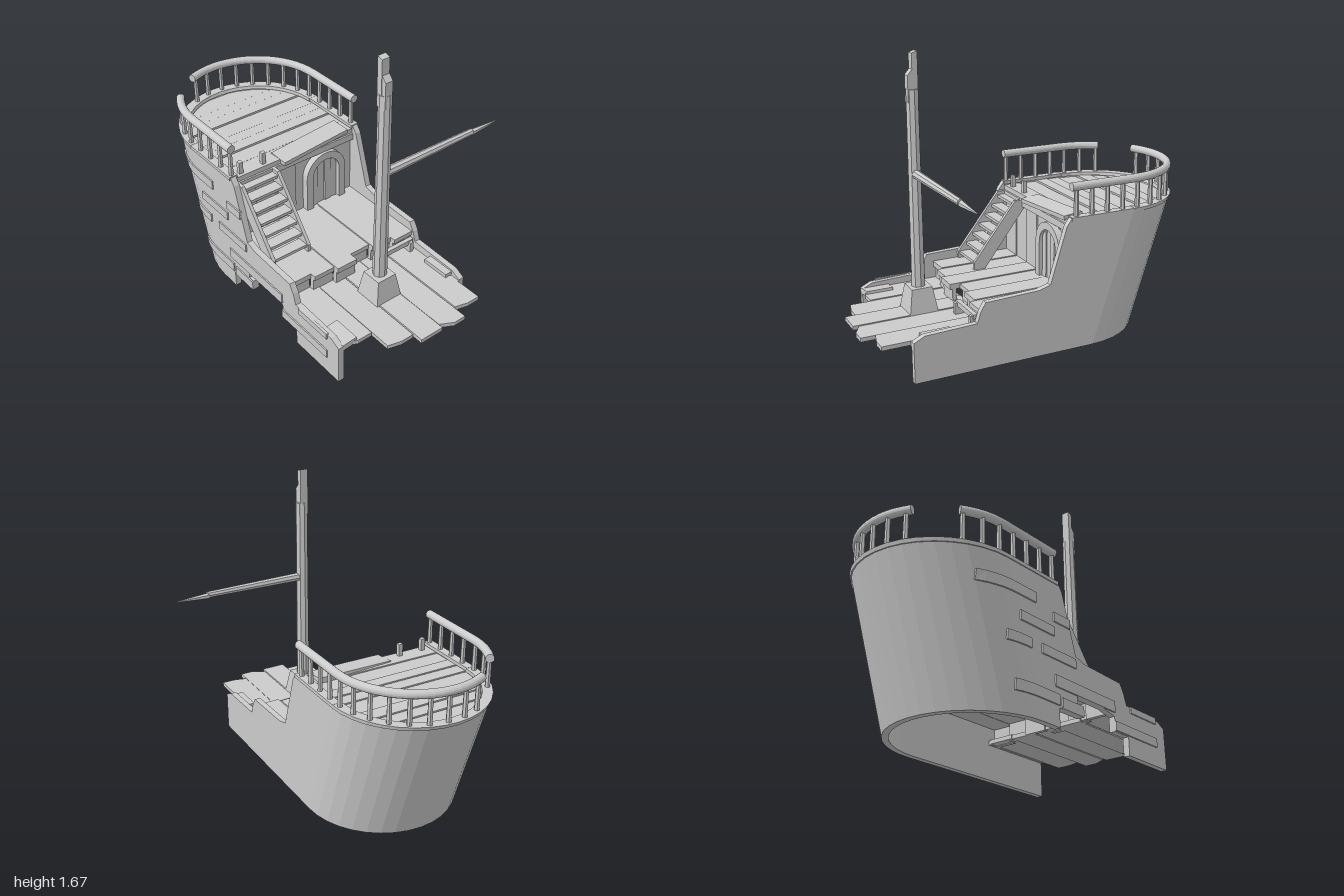
import * as THREE from 'three';

const MID = 0.18, HALF = 0.44, ROUND = 0.45, TOP = 0.77;

// x where the straight sides turn into the raked, rounded stern
const sternStart = (y) => -0.55 + 0.255 * (1 - y / TOP);
// point on the rounded stern, set inwards by w
const sternPoint = (t, y, w) => new THREE.Vector3(
  sternStart(y) - (ROUND - w) * Math.cos(t), y, MID + (HALF - w) * Math.sin(t));
const sideZ = (x, y) => {
  const c = Math.min(1, Math.max(0, (sternStart(y) - x) / ROUND));
  return MID + HALF * Math.sqrt(1 - c * c);
};

export function createModel() {
  const ship = new THREE.Group();
  ship.name = 'shipwreck';
  const mat = new THREE.MeshStandardMaterial({ color: 0xcccccc, flatShading: true });

  const add = (name, geo, parent = ship) => {
    const mesh = new THREE.Mesh(geo, mat);
    mesh.name = name;
    parent.add(mesh);
    return mesh;
  };
  const group = (name) => {
    const g = new THREE.Group();
    g.name = name;
    ship.add(g);
    return g;
  };
  const box = (name, x0, x1, y0, y1, z0, z1, parent) => {
    const m = add(name, new THREE.BoxGeometry(x1 - x0, y1 - y0, z1 - z0), parent);
    m.position.set((x0 + x1) / 2, (y0 + y1) / 2, (z0 + z1) / 2);
    return m;
  };
  const warp = (geo, rule) => {
    const p = geo.attributes.position, v = new THREE.Vector3();
    for (let i = 0; i < p.count; i++) {
      const q = rule(v.fromBufferAttribute(p, i));
      p.setXYZ(i, q.x, q.y, q.z);
    }
    geo.computeVertexNormals();
    return geo;
  };
  const shapeOf = (pts) => new THREE.Shape(pts.map(([x, y]) => new THREE.Vector2(x, y)));
  const extrude = (shape, depth) =>
    new THREE.ExtrudeGeometry(shape, { depth, bevelEnabled: false, curveSegments: 8 });

  // Rounded stern and its rim
  const sternBand = (name, y0, y1, w0, w1) => add(name, warp(
    new THREE.BoxGeometry(1, 1, 1, 18, 1, 1),
    (v) => sternPoint(v.x * Math.PI, v.y > 0 ? y1 : y0, v.z > 0 ? w0 : w1)));
  sternBand('sternHull', 0, 0.765, 0, 0.035);
  sternBand('sternRim', 0.755, 0.775, -0.006, 0.05);

  // Side walls: stepped top; the front one has a broken bottom edge
  const topEdge = [[0.78, 0], [0.78, 0.23], [0.72, 0.26], [0.42, 0.27], [0.4, 0.33], [0.37, 0.38],
    [0.05, 0.39], [-0.02, 0.41], [-0.12, 0.73], [-0.15, TOP], [-0.55, TOP], [-0.295, 0]];
  const hole = [[-0.17, 0], [-0.17, 0.1], [0.02, 0.1], [0.02, 0.16], [-0.02, 0.16], [-0.02, 0.2],
    [0.2, 0.2], [0.3, 0.18], [0.3, 0.1], [0.42, 0.1], [0.42, 0]];
  add('backWall', extrude(shapeOf(topEdge), 0.035)).position.z = MID - HALF;
  add('frontWall', extrude(shapeOf([...topEdge, ...hole]), 0.035)).position.z = MID + HALF - 0.035;
  for (const z of [MID - HALF - 0.005, MID + HALF - 0.045])
    box('wallRim', -0.55, -0.15, 0.755, 0.775, z, z + 0.05);

  // Loose planks lying on the front side
  const hullPlanks = group('hullPlanks');
  for (const [x0, x1, y0, y1] of [[-0.72, -0.34, 0.59, 0.645], [-0.46, -0.2, 0.46, 0.51],
    [-0.2, -0.07, 0.54, 0.59], [-0.54, -0.38, 0.34, 0.39], [-0.3, -0.03, 0.34, 0.39],
    [-0.48, -0.17, 0.11, 0.165], [-0.2, 0.3, 0.2, 0.26], [-0.15, 0.02, 0.1, 0.155],
    [0.3, 0.69, 0.105, 0.155], [0.45, 0.69, 0.235, 0.27]]) {
    add('hullPlank', warp(new THREE.BoxGeometry(x1 - x0, y1 - y0, 0.016, 8, 1, 1), (v) => {
      const x = v.x + (x0 + x1) / 2, y = v.y + (y0 + y1) / 2;
      return new THREE.Vector3(x, y, sideZ(x, y) + v.z);
    }), hullPlanks);
  }

  // Lower deck with broken ends, upper deck and the riser between
  const decks = group('mainDeck');
  [[-0.23, -0.21, 0.78], [-0.215, -0.06, 0.94], [-0.055, 0.095, 1], [0.1, 0.245, 0.99],
    [0.25, 0.405, 0.93], [0.41, 0.59, 0.79]].forEach(([z0, z1, end], i) => {
    const y = 0.2 + (i % 2) * 0.004;
    add('lowerPlank', extrude(shapeOf([[0.3, -z1], [end - (i % 3) * 0.02, -z1],
      [end, -(z0 + z1) / 2], [end, -z0], [0.3, -z0]]), 0.024).rotateX(-Math.PI / 2), decks).position.y = y;
    const a = Math.max(-0.225, -0.225 + i * 0.135);
    const x1 = 0.39 - (i % 3) * 0.03;
    box('upperPlank', -0.2, x1, 0.3, 0.328 + (i % 2) * 0.005, a, a + 0.132, decks);
    box('riserBoard', x1 - 0.04, x1 - 0.015, 0.2, 0.3, a, a + 0.132, decks);
  });
  box('deckEnd', 0.62, 0.78, 0.205, 0.24, 0.5, 0.59, decks).rotation.x = 0.1;
  box('deckEndBack', 0.55, 0.72, 0.21, 0.25, -0.23, -0.18, decks);

  // Fallen rail on the main deck
  const fallen = group('brokenDeckRail');
  box('bar', 0.395, 0.42, 0.27, 0.3, -0.21, 0.03, fallen);
  for (const z of [-0.2, 0.005]) box('post', 0.38, 0.435, 0.21, 0.29, z, z + 0.025, fallen);

  // Raised stern deck: crosswise planks cut to the stern curve
  const sternDeck = group('sternDeck');
  const seams = [-0.95, -0.82, -0.74, -0.65, -0.53, -0.45, -0.37, -0.26, -0.15];
  for (let i = 0; i < seams.length - 1; i++) {
    const a = seams[i], b = seams[i + 1] - 0.006;
    const half = (x) => {
      const c = Math.min(1, Math.max(0, (-0.54 - x) / 0.42));
      return 0.41 * Math.sqrt(1 - c * c) + 0.002;
    };
    const m = (a + b) / 2;
    const pts = [[a, -half(a)], [m, -half(m)], [b, -half(b)], [b, half(b)], [m, half(m)], [a, half(a)]];
    add('sternPlank', extrude(shapeOf(pts), 0.03).rotateX(-Math.PI / 2), sternDeck)
      .position.set(0, 0.715 + (i % 3) * 0.004, MID);
  }
  // Warped board hanging over the deck edge
  const lip = box('warpedBoard', -0.25, -0.13, 0.735, 0.76, -0.18, 0.29, sternDeck);
  lip.rotation.set(0.04, 0.06, -0.08);

  // Cabin front of upright boards
  const cabin = group('cabinFront');
  for (let i = 0; i < 6; i++) {
    const z = -0.225 + i * 0.135;
    box('cabinBoard', -0.2, -0.172 + (i % 2) * 0.006, 0.3, 0.73, z, z + 0.133, cabin);
  }
  box('cabinBeam', -0.18, -0.145, 0.68, 0.72, -0.225, 0.585, cabin);

  // Arched door
  const arch = (half, Cls) => {
    const p = new Cls();
    p.moveTo(-half, 0.33);
    p.lineTo(half, 0.33);
    p.lineTo(half, 0.54);
    p.absarc(0, 0.54, half, 0, Math.PI, false);
    p.closePath();
    return p;
  };
  const frame = arch(0.14, THREE.Shape);
  frame.holes.push(arch(0.095, THREE.Path));
  const door = group('door');
  add('doorFrame', extrude(frame, 0.05).rotateY(Math.PI / 2), door).position.set(-0.18, 0, -0.015);
  for (let i = 0; i < 4; i++) {
    const z = -0.107 + i * 0.047, top = 0.54 + Math.sqrt(0.095 ** 2 - (0.047 * (i - 1.5)) ** 2);
    box('doorBoard', -0.18, -0.155 + (i % 2) * 0.006, 0.33, top, z, z + 0.043, door);
  }

  // Stairs to the stern deck
  const stairs = group('stairs');
  const steps = 7;
  for (let i = 0; i < steps; i++) {
    const x = 0.14 - i * 0.043, y = 0.375 + i * 0.054;
    box('tread', x - 0.05, x + 0.02, y - 0.018, y, 0.335, 0.575, stairs);
  }
  for (const z of [0.33, 0.565])
    add('stringer', extrude(shapeOf([[0.17, 0.33], [0.17, 0.375], [-0.1, 0.72], [-0.16, 0.72],
      [-0.16, 0.67], [0.1, 0.33]]), 0.02), stairs).position.z = z;
  for (const z of [0.37, 0.52]) box('newelPost', -0.2, -0.175, 0.73, 0.82, z, z + 0.025, stairs);

  // Stern railings: long back run and short front run, broken between
  const railing = (name, side, tEnd, posts) => {
    const g = group(name), pts = [];
    for (const x of [-0.155, -0.3, -0.45])
      pts.push(new THREE.Vector3(x, 0, MID + side * (HALF - 0.02)));
    const t0 = side * Math.PI / 2;
    for (let i = 0; i <= 10; i++) pts.push(sternPoint(t0 + (tEnd - t0) * i / 10, TOP, 0.02).setY(0));
    const path = new THREE.CatmullRomCurve3(pts);
    const round = new THREE.Shape().absarc(0, 0, 0.024, 0, Math.PI * 2, false);
    add('handrail', new THREE.ExtrudeGeometry(round,
      { steps: 28, extrudePath: path, curveSegments: 8, bevelEnabled: false }), g).position.y = 0.943;
    for (let i = 0; i < posts; i++) {
      const p = path.getPointAt(0.025 + 0.95 * i / (posts - 1));
      add('railPost', new THREE.CylinderGeometry(0.013, 0.015, 0.18, 6), g).position.set(p.x, 0.85, p.z);
    }
  };
  railing('backRailing', -1, 0.45, 13);
  railing('frontRailing', 1, 0.98, 7);

  // Mast with splintered top on a tapered foot
  const mast = group('mast');
  mast.position.set(0.58, 0, MID);
  add('mastFoot', new THREE.CylinderGeometry(0.085, 0.122, 0.16, 4).rotateY(Math.PI / 4), mast).position.y = 0.285;
  add('mastPole', new THREE.CylinderGeometry(0.035, 0.04, 1.17, 8), mast).position.y = 0.885;
  const splinter = (name, x0, x1, z0, z1, top, cut) => add(name,
    extrude(shapeOf([[x0, 1.4], [x1, 1.4], [x1, top - cut], [x0, top]]), z1 - z0), mast).position.z = z0;
  splinter('tallSplinter', -0.028, 0.004, -0.02, 0.028, 1.67, 0.01);
  splinter('shortSplinter', 0.004, 0.03, -0.02, 0.025, 1.575, 0.03);

  // Broken yard pointing backwards
  const yard = group('yard');
  yard.position.set(0.58, 1.01, 0);
  add('yardPole', new THREE.CylinderGeometry(0.019, 0.026, 0.6, 8).rotateX(-Math.PI / 2), yard).position.z = -0.14;
  const tip = add('yardTip', new THREE.CylinderGeometry(0.004, 0.019, 0.19, 6).rotateX(-Math.PI / 2), yard);
  tip.position.set(-0.004, -0.006, -0.53);

  return ship;
}
